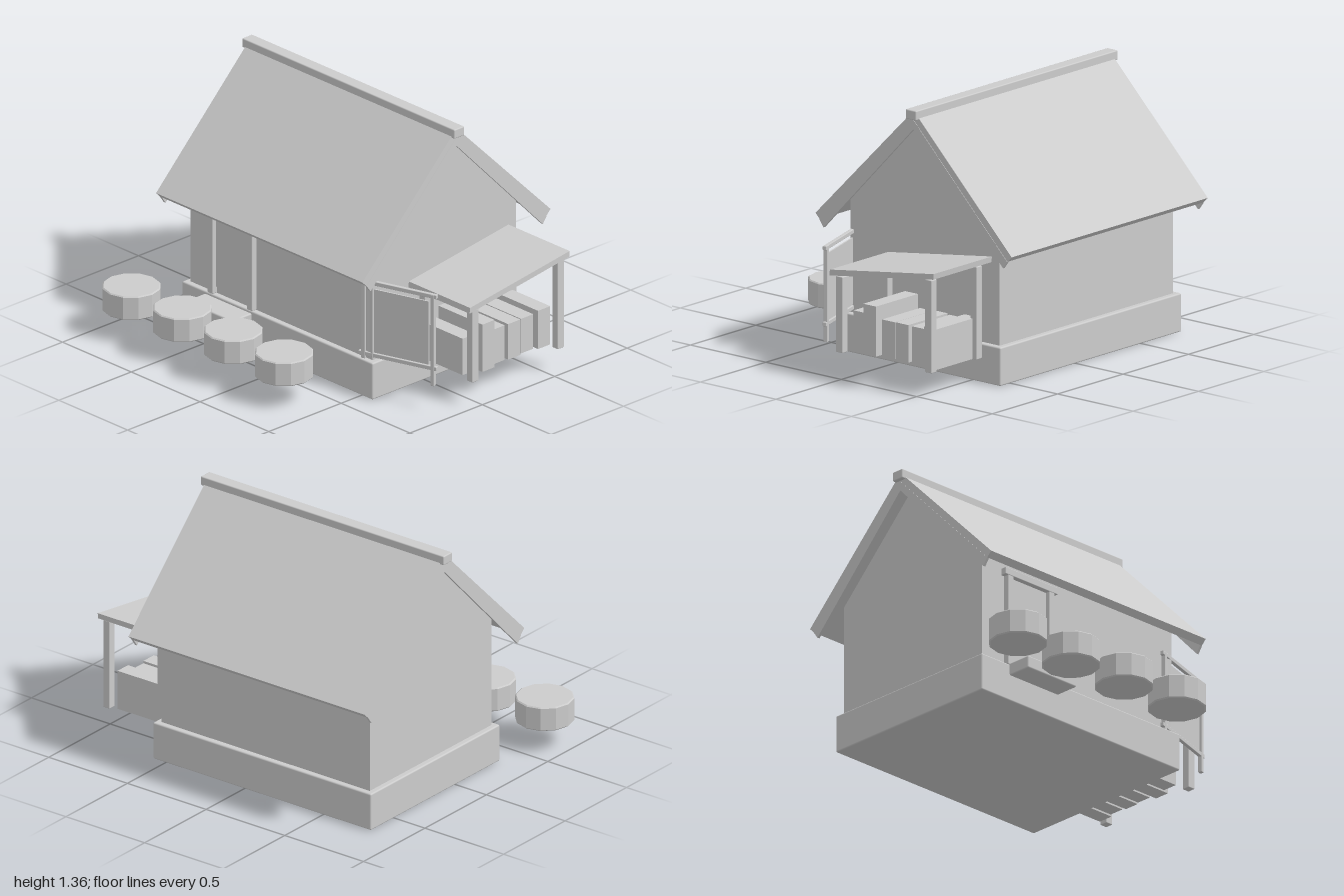
import * as THREE from 'three';
import { RoundedBoxGeometry } from 'three/addons/geometries/RoundedBoxGeometry.js';

export function createModel() {
  const house = new THREE.Group();
  house.name = 'house';
  const clay = new THREE.MeshStandardMaterial({ color: 0xcccccc });
  clay.name = 'light grey';

  const add = (name, geometry, parent = house) => {
    const mesh = new THREE.Mesh(geometry, clay);
    mesh.name = name;
    parent.add(mesh);
    return mesh;
  };
  // Box given by its limits; a bevel softens the edges
  const block = (name, [x0, x1], [y0, y1], [z0, z1], bevel = 0, parent = house) => {
    const s = [x1 - x0, y1 - y0, z1 - z0];
    const g = bevel ? new RoundedBoxGeometry(...s, 2, bevel) : new THREE.BoxGeometry(...s);
    const mesh = add(name, g, parent);
    mesh.position.set((x0 + x1) / 2, (y0 + y1) / 2, (z0 + z1) / 2);
    return mesh;
  };
  // Profile of [z, y] points extruded along x
  const prism = (name, points, x0, x1) => {
    const shape = new THREE.Shape(points.map(([z, y]) => new THREE.Vector2(-z, y)));
    const g = new THREE.ExtrudeGeometry(shape, { depth: x1 - x0, bevelEnabled: false });
    g.rotateY(Math.PI / 2).translate(x0, 0, 0);
    return add(name, g);
  };

  // Foundation and walls
  const ridgeZ = -0.165;
  block('foundation', [-0.805, 0.58], [0, 0.2], [-0.69, 0.36], 0.008);
  block('walls', [-0.775, 0.55], [0.19, 0.8], [-0.66, 0.33]);
  prism('gable', [[0.33, 0.8], [-0.66, 0.8], [ridgeZ, 1.295]], -0.775, 0.55);

  // Pitched roof as a chevron, with barge boards under both ends
  const chevron = (name, top, bottom, x0, x1) => prism(name, [
    [ridgeZ, top.peak], [ridgeZ + top.d, top.y], [ridgeZ + bottom.d, bottom.y],
    [ridgeZ, bottom.peak], [ridgeZ - bottom.d, bottom.y], [ridgeZ - top.d, top.y],
  ], x0, x1);
  const outer = { peak: 1.35, d: 0.65, y: 0.704 };
  const inner = { peak: 1.302, d: 0.622, y: 0.676 };
  const lower = { peak: 1.253, d: 0.595, y: 0.638 };
  chevron('roof', outer, inner, -0.862, 0.638);
  for (const x of [-0.864, 0.626]) chevron('bargeBoard', inner, lower, x, x + 0.014);
  block('ridgeCap', [-0.885, 0.66], [1.307, 1.357], [-0.2, -0.13], 0.006);

  // Doorway
  for (const x of [-0.62, -0.333]) block('doorPost', [x, x + 0.037], [0.2, 0.7], [0.325, 0.36], 0.004);
  block('lintel', [-0.64, -0.275], [0.692, 0.73], [0.325, 0.362], 0.004);
  block('door', [-0.583, -0.333], [0.235, 0.695], [0.326, 0.335]);
  block('doorStep', [-0.625, -0.285], [0.13, 0.197], [0.37, 0.507], 0.008);

  // Row of round stones with a small bevel
  const stone = [[0, 0], [0.144, 0], [0.15, 0.006], [0.15, 0.124], [0.144, 0.13], [0, 0.13]];
  for (let i = 0; i < 4; i++) {
    const g = new THREE.LatheGeometry(stone.map(p => new THREE.Vector2(...p)), 12).toNonIndexed();
    g.computeVertexNormals();
    add('roundStone', g).position.set(-0.85 + i * 0.37, 0.13, 0.666);
  }

  // Lean-to beside the gable wall
  prism('leanToRoof', [[0.08, 0.555], [0.083, 0.524], [-0.605, 0.624], [-0.608, 0.654]], 0.55, 0.995);
  for (const x of [0.595, 0.94]) {
    block('leanToFrontPost', [x, x + 0.042], [0.13, 0.525], [0.008, 0.052], 0.004);
    block('leanToBackPost', [x, x + 0.042], [0.13, 0.612], [-0.582, -0.538], 0.004);
  }

  // Stacked logs under the lean-to: top height and outer end of each
  [[0.33, 0.88], [0.39, 0.92], [0.32, 0.89], [0.325, 0.9], [0.32, 0.89], [0.34, 0.91]].forEach(([top, end], i) => {
    const z = -0.02 - i * 0.0985;
    block('log', [0.6, end], [0.13, top], [z - 0.042, z + 0.042]);
  });

  // Stretching frame with a thin panel, turned out from the front corner
  const frame = new THREE.Group();
  frame.name = 'stretchingFrame';
  frame.position.set(0.47, 0, 0.344);
  frame.rotation.y = 0.315;
  house.add(frame);
  for (const x of [0.014, 0.407]) block('frameUpright', [x, x + 0.022], [0.13, 0.63], [-0.011, 0.011], 0.003, frame);
  for (const y of [0.215, 0.61]) block('frameRail', [-0.003, 0.442], [y, y + 0.022], [-0.01, 0.01], 0.003, frame);
  block('framePanel', [0.045, 0.395], [0.24, 0.587], [-0.004, 0.004], 0, frame);

  return house;
}
